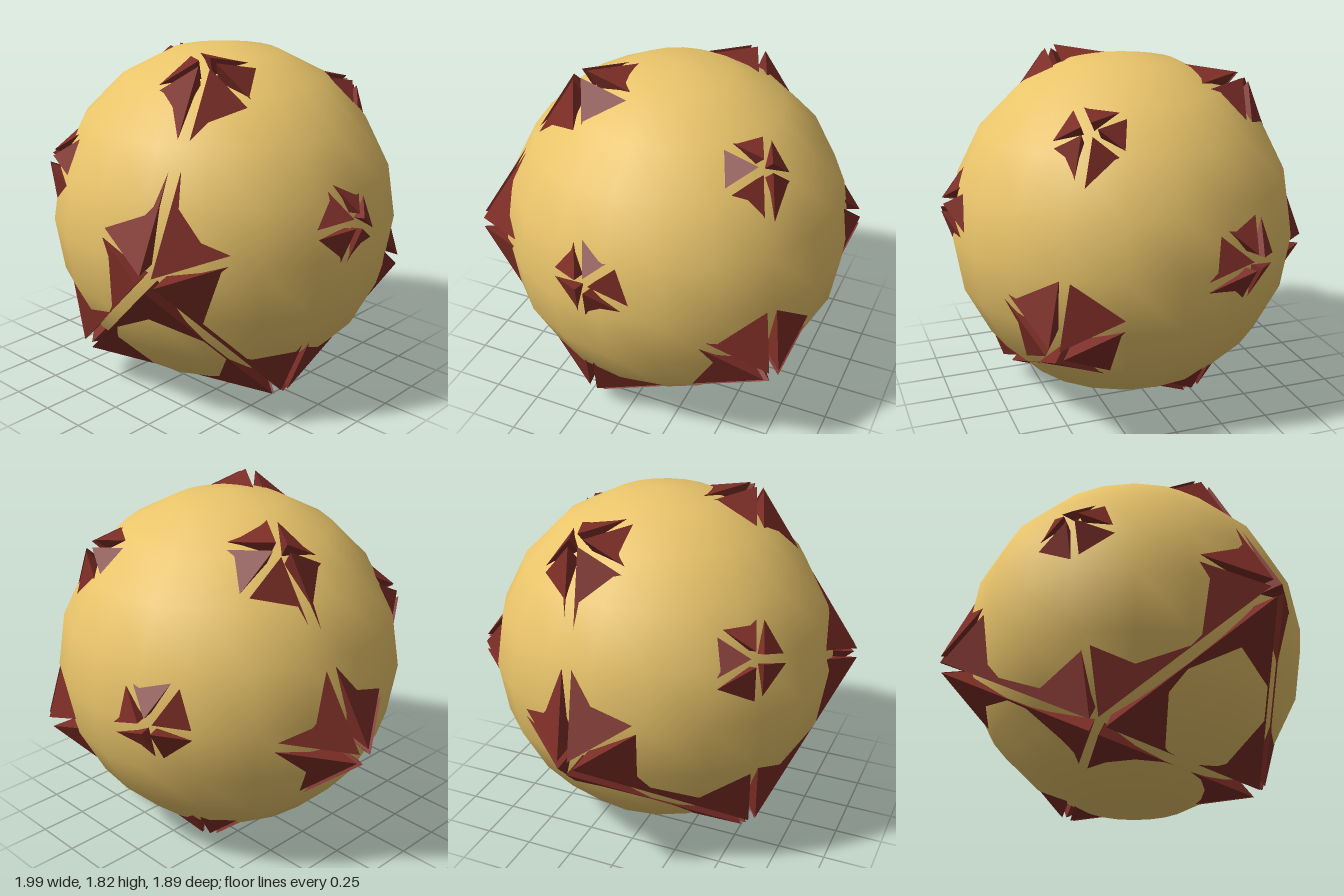
import * as THREE from 'three';

const CENTRE = new THREE.Vector3(0.04, 0.91, -0.035);
const PHI = (1 + Math.sqrt(5)) / 2;
const EXPLODE = 0.07; // outward shift of each shard

// Corners of a tilted icosahedron, each with its own distance from the centre
function shellCorners() {
  const p = new THREE.Vector3(0.379, 0.498, 0.78).normalize();
  const r = new THREE.Vector3(-0.921, 0.091, 0.38).addScaledVector(p, 0.008).normalize();
  const q = new THREE.Vector3().crossVectors(r, p).normalize();
  if (q.y > 0) q.negate();
  // long axis, short axis, side, radius, radius of the opposite corner
  const rows = [
    [p, q, 1, 0.99, 0.915],
    [p, q, -1, 0.955, 0.915],
    [q, r, 1, 0.985, 0.915],
    [q, r, -1, 0.97, 0.945],
    [r, p, 1, 0.905, 0.985],
    [r, p, -1, 0.993, 0.905],
  ];
  return rows.flatMap(([long, short, side, near, far]) => {
    const dir = long.clone().multiplyScalar(PHI).addScaledVector(short, side).normalize();
    return [dir.clone().multiplyScalar(near), dir.clone().multiplyScalar(-far)];
  });
}

// Pyramid from the centre to one face, pushed outward along the face normal
function shardGeometry(a, b, c) {
  const normal = b.clone().sub(a).cross(c.clone().sub(a)).normalize();
  if (normal.dot(a) < 0) {
    normal.negate();
    [b, c] = [c, b];
  }
  const o = new THREE.Vector3();
  const points = [a, b, c, o, b, a, o, c, b, o, a, c];
  const geometry = new THREE.BufferGeometry().setFromPoints(points);
  geometry.translate(...normal.multiplyScalar(EXPLODE).toArray());
  geometry.computeVertexNormals();
  return geometry;
}

export function createModel() {
  const model = new THREE.Group();
  model.name = 'sphereWithShards';

  // Smooth core
  const core = new THREE.Mesh(
    new THREE.SphereGeometry(0.91, 20, 10),
    new THREE.MeshStandardMaterial({ color: 0xe9c46a })
  );
  core.name = 'core';
  core.position.copy(CENTRE);
  model.add(core);

  // Exploded shell whose corners break through the core
  const shell = new THREE.Group();
  shell.name = 'shell';
  shell.position.copy(CENTRE);
  const red = new THREE.MeshStandardMaterial({ color: 0x7b2d26, flatShading: true });
  const corners = shellCorners();
  const adjacent = (i, j) => corners[i].angleTo(corners[j]) < 1.3;
  for (let i = 0; i < 12; i++)
    for (let j = i + 1; j < 12; j++)
      for (let k = j + 1; k < 12; k++) {
        if (!adjacent(i, j) || !adjacent(j, k) || !adjacent(i, k)) continue;
        const shard = new THREE.Mesh(shardGeometry(corners[i], corners[j], corners[k]), red);
        shard.name = 'shard';
        shell.add(shard);
      }
  model.add(shell);
  return model;
}
